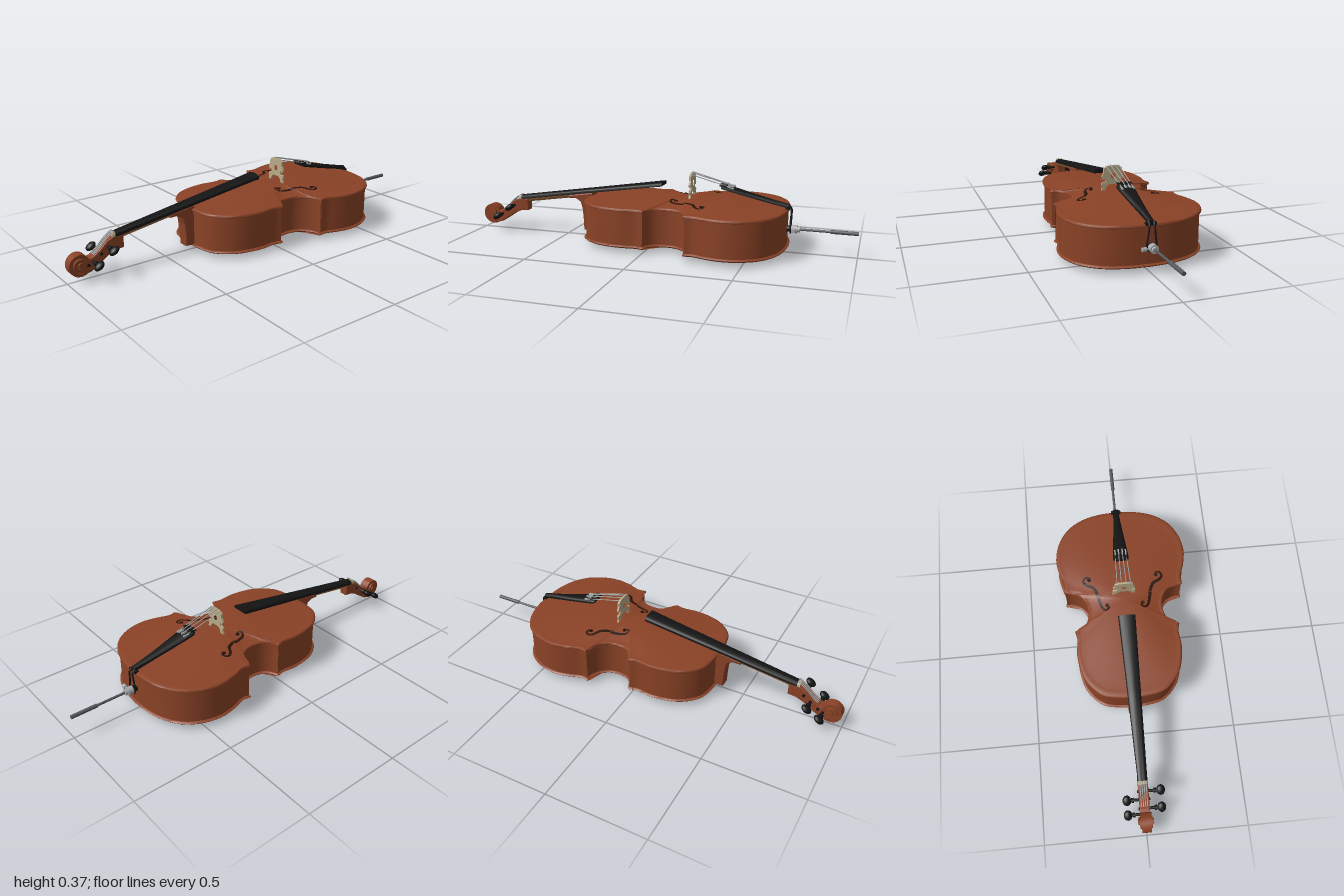
import * as THREE from 'three';
import { toCreasedNormals } from 'three/addons/utils/BufferGeometryUtils.js';

const mat = (name, color, side = THREE.FrontSide) => {
  const m = new THREE.MeshStandardMaterial({ color, side });
  m.name = name;
  return m;
};
const V = (x, y, z) => new THREE.Vector3(x, y, z);

// Skin a list of closed rings (counterclockwise seen from the direction of travel).
function loft(rings, crease = 0.7, caps = true) {
  const n = rings[0].length, pos = [], idx = [];
  rings.forEach(r => r.forEach(p => pos.push(p.x, p.y, p.z)));
  for (let r = 0; r < rings.length - 1; r++) for (let i = 0; i < n; i++) {
    const j = (i + 1) % n, a = r * n + i, b = r * n + j, c = b + n, d = a + n;
    idx.push(a, b, c, a, c, d);
  }
  if (caps) [0, rings.length - 1].forEach((r, end) => {
    const c = rings[r].reduce((s, p) => s.add(p), V(0, 0, 0)).divideScalar(n), k = pos.length / 3;
    pos.push(c.x, c.y, c.z);
    for (let i = 0; i < n; i++) {
      const a = r * n + i, b = r * n + (i + 1) % n;
      end ? idx.push(a, b, k) : idx.push(b, a, k);
    }
  });
  const g = new THREE.BufferGeometry();
  g.setAttribute('position', new THREE.Float32BufferAttribute(pos, 3));
  g.setIndex(idx);
  return toCreasedNormals(g, crease);
}

// Body outline: three curves per side meeting at the sharp corners.
const bouts = [
  [[-.362, 0], [-.357, .08], [-.335, .16], [-.25, .235], [-.12, .264], [-.035, .257], [.007, .266]],
  [[.012, .262], [.022, .23], [.05, .203], [.1, .19], [.155, .198], [.198, .23], [.219, .27], [.221, .307]],
  [[.227, .307], [.265, .303], [.33, .324], [.41, .337], [.5, .32], [.58, .272], [.635, .195], [.663, .1], [.671, 0]],
];
const half = bouts.flatMap(b => new THREE.CatmullRomCurve3(b.map(p => V(p[0], 0, p[1]))).getPoints(26));
const outline = half.concat(half.slice(1, -1).reverse().map(p => V(p.x, 0, -p.z)));
const MID = V(.15, 0, 0);

const inset = (d, y) => outline.map((p, i) => {
  const n = outline.length, t = outline[(i + 1) % n].clone().sub(outline[(i + n - 1) % n]).normalize();
  return V(p.x + t.z * d, y, p.z - t.x * d);
});
const arch = s => Math.pow(Math.sin(Math.PI / 2 * Math.min(1, Math.max(0, (.95 - s) / .95))), 1.25);
const scaled = (s, y) => outline.map(p => V(MID.x + (p.x - MID.x) * s, y, p.z * s));
const topY = s => .22 + .029 * arch(s);
// Height of the belly at a point.
function bellyY(x, z) {
  const a = Math.atan2(z, x - MID.x);
  let best = outline[0], err = 9;
  for (const p of outline) {
    const e = Math.abs(Math.atan2(p.z, p.x - MID.x) - a);
    if (e < err) { err = e; best = p; }
  }
  return topY(Math.hypot(x - MID.x, z) / best.distanceTo(MID));
}

// Cross-section with a flat base and arched top, across z.
const board = (x, y, w, edge, crown) => {
  const r = [V(x, y, -w)];
  for (let i = 0; i <= 10; i++) {
    const t = Math.PI * i / 10;
    r.push(V(x, y + edge + crown * Math.sin(t), -w * Math.cos(t)));
  }
  r.push(V(x, y, w));
  return r;
};

export function createModel() {
  const wood = mat('varnished wood', 0x8a4226);
  const bare = mat('bare neck wood', 0xa0693f);
  const black = mat('ebony', 0x141414);
  const hole = mat('sound hole dark', 0x2a130b, THREE.DoubleSide);
  const pale = mat('pale maple', 0xb9ab88);
  const metal = mat('bright metal', 0xa8a9aa);
  const steel = mat('dark steel', 0x55585a);

  const root = new THREE.Group();
  root.name = 'cello';
  const add = (name, geo, m) => {
    const o = new THREE.Mesh(geo, m);
    o.name = name;
    root.add(o);
    return o;
  };
  const tube = (name, pts, r, m, seg = 16) =>
    add(name, new THREE.TubeGeometry(new THREE.CatmullRomCurve3(pts), seg, r, 6), m);
  const rod = (name, axis, r, len, x, y, z, m) => {
    const g = new THREE.CylinderGeometry(r, r, len, 20);
    axis === 'x' ? g.rotateZ(-Math.PI / 2) : g.rotateX(Math.PI / 2);
    return add(name, g.translate(x, y, z), m);
  };
  const plate = (name, pts, w, m, bevel = 0) => {
    const s = new THREE.Shape(pts.map(p => new THREE.Vector2(...p)));
    const g = new THREE.ExtrudeGeometry(s, { depth: 2 * w - 2 * bevel, bevelEnabled: bevel > 0,
      bevelSize: bevel, bevelThickness: bevel, bevelOffset: -bevel, bevelSegments: 2 });
    return add(name, g.translate(0, 0, bevel - w), m);
  };

  // Sound box
  const steps = [.94, .89, .83, .76, .68, .6, .5, .4, .3, .2, .1, .02];
  add('ribs', loft([inset(.009, .03), inset(.009, .21)], .7, false), wood);
  add('belly', loft([inset(.009, .206), inset(.002, .207), inset(0, .212), inset(.002, .218), inset(.008, .221),
    ...steps.map(s => scaled(s, topY(s)))], .9), wood);
  add('back', loft([...steps.slice().reverse().map(s => scaled(s, .025 - .024 * arch(s))),
    inset(.008, .024), inset(.002, .027), inset(-.002, .032), inset(.002, .037), inset(.009, .038)], .9), wood);

  // Sound holes: ribbons laid over the arched belly
  const ess = new THREE.CatmullRomCurve3([[.128, .088], [.112, .083], [.101, .096], [.112, .115], [.15, .128], [.195, .138],
    [.228, .155], [.247, .187], [.268, .203], [.288, .193], [.287, .175], [.273, .17]].map(p => V(p[0], 0, p[1])));
  for (const side of [1, -1]) {
    const pos = [], idx = [], N = 60;
    for (let i = 0; i <= N; i++) {
      const p = ess.getPointAt(i / N), t = ess.getTangentAt(i / N), w = .004 + .004 * Math.sin(Math.PI * i / N);
      for (const k of [-w, w]) {
        const x = p.x + t.z * k, z = (p.z - t.x * k) * side;
        pos.push(x, bellyY(x, z) + .0025, z);
      }
      if (i < N) idx.push(2 * i, 2 * i + 1, 2 * i + 2, 2 * i + 1, 2 * i + 3, 2 * i + 2);
    }
    const g = new THREE.BufferGeometry();
    g.setAttribute('position', new THREE.Float32BufferAttribute(pos, 3));
    g.setIndex(idx);
    g.computeVertexNormals();
    add('soundHole', g, hole);
    for (const [x, z] of [[.126, .091], [.275, .173]])
      add('soundHoleEye', new THREE.CylinderGeometry(.01, .01, .004, 16).translate(x, bellyY(x, z * side) + .001, z * side), hole);
  }

  // Neck, heel and fingerboard
  const under = x => .173 + .154 * (x + .765);
  const neckRing = x => Array.from({ length: 16 }, (_, i) => {
    const t = 2 * Math.PI * i / 16, w = .023 + .02 * (x + .765);
    return V(x, under(x) + .002 + Math.sin(t) * (Math.sin(t) > 0 ? .002 : .022), -w * Math.cos(t));
  });
  add('neck', loft([-.745, -.65, -.55, -.44].map(neckRing)), bare);
  plate('heel', [[-.48, .216], [-.48, .199], [-.44, .2], [-.415, .185], [-.404, .15], [-.399, .09], [-.397, .034],
    [-.345, .034], [-.345, .237]], .03, wood, .006);
  add('fingerboard', loft([[-.765, .023], [-.35, .033], [.036, .043]].map(([x, w]) => board(x, under(x), w, .01, .012))), black);
  add('nut', loft([-.779, -.764].map(x => board(x, .172, .023, .014, .01))), pale);

  // Pegbox and scroll
  plate('pegbox', [[-.725, .178], [-.775, .178], [-.81, .162], [-.85, .125], [-.885, .104], [-.91, .1], [-.935, .06],
    [-.935, .03], [-.89, .04], [-.85, .065], [-.8, .098], [-.765, .112], [-.725, .115]], .024, wood, .004);
  const turns = [];
  for (let i = 0; i <= 72; i++) {
    const u = i / 72, a = -1 - u * 2.2 * 2 * Math.PI, R = .06 - .044 * u, w = .02 + .016 * u, r = R - .016;
    const at = (q, z) => V(-.941 + Math.cos(a) * q, .085 + Math.sin(a) * q, z);
    turns.push([at(r, -w), at(R, -w), at(R, w), at(r, w)]);
  }
  add('scroll', loft(turns), wood);
  rod('scrollCore', 'z', .043, .036, -.941, .085, 0, wood);
  rod('scrollEye', 'z', .014, .076, -.941, .085, 0, wood);

  // Tuning pegs and the string ends wound on them
  [[-.905, .075, -1], [-.88, .085, 1], [-.84, .113, -1], [-.805, .138, 1]].forEach(([x, y, s], i) => {
    rod('pegShaft', 'z', .007, .1, x, y, s * .02, black);
    rod('pegCollar', 'z', .012, .012, x, y, s * .055, black);
    const head = add('pegHead', new THREE.SphereGeometry(1, 18, 12), black);
    head.scale.set(.027, .015, .021);
    head.position.set(x, y, s * .083);
    head.rotation.z = .6;
    const z = (i - 1.5) * .01;
    tube('stringEnd', [V(-.765, .199, z), V(-.785, .188, z), V(-.812, .167, z), V(-.85, .13, z), V(-.875, .113, z)], .0025, metal);
  });

  // Bridge
  const side = [[.027, .368], [.046, .356], [.047, .335], [.056, .315], [.052, .302], [.042, .302], [.04, .311],
    [.034, .3], [.038, .287], [.056, .285], [.058, .276], [.053, .262], [.06, .243], [.04, .243], [.035, .262], [.02, .276]];
  const shape = new THREE.Shape([...side, ...side.slice().reverse().map(([a, b]) => [-a, b])].map(p => new THREE.Vector2(...p)));
  const heart = new THREE.Path();
  heart.absellipse(0, .318, .012, .014, 0, Math.PI * 2, true);
  shape.holes.push(heart);
  add('bridge', new THREE.ExtrudeGeometry(shape, { depth: .01, bevelEnabled: false })
    .rotateY(Math.PI / 2).translate(.18, 0, 0), pale);

  // Tailpiece, strings, tuners and gut
  add('tailpiece', loft([[.338, .303, .034], [.35, .3, .04], [.39, .29, .038], [.5, .262, .027], [.6, .238, .018], [.672, .222, .014]]
    .map(([x, y, w]) => board(x, y, w, .007, .012))), black);
  [-.034, -.012, .012, .034].forEach(z => {
    const inner = Math.abs(z) < .02;
    tube('string', [V(.183, inner ? .372 : .366, z), V(.385, inner ? .318 : .311, z * .8)], .0023, metal, 2);
    rod('tunerScrew', 'x', .005, .03, .345, .319, z * .85, black);
    add('tunerLever', new THREE.BoxGeometry(.03, .008, .007).translate(.385, inner ? .314 : .307, z * .8), metal);
  });
  add('saddle', new THREE.BoxGeometry(.02, .012, .05).translate(.664, .222, 0), black);
  tube('tailGut', [V(.665, .235, .011), V(.68, .218, .012), V(.68, .17, .017), V(.68, .125, .022), V(.68, .106, .015), V(.68, .1, 0),
    V(.68, .106, -.015), V(.68, .125, -.022), V(.68, .17, -.017), V(.68, .218, -.012), V(.665, .235, -.011)], .004, black, 50);

  // Endpin
  rod('endpinPlug', 'x', .015, .04, .675, .12, 0, black);
  rod('endpinCollar', 'x', .02, .028, .698, .12, 0, metal);
  rod('endpinSleeve', 'x', .014, .014, .718, .12, 0, metal);
  rod('endpinRod', 'x', .006, .17, .8, .12, 0, steel);
  rod('endpinTip', 'x', .0095, .13, .935, .12, 0, steel);
  rod('screwShaft', 'z', .004, .03, .698, .12, .025, metal);
  rod('screwHead', 'z', .01, .02, .698, .12, .042, metal);
  return root;
}
